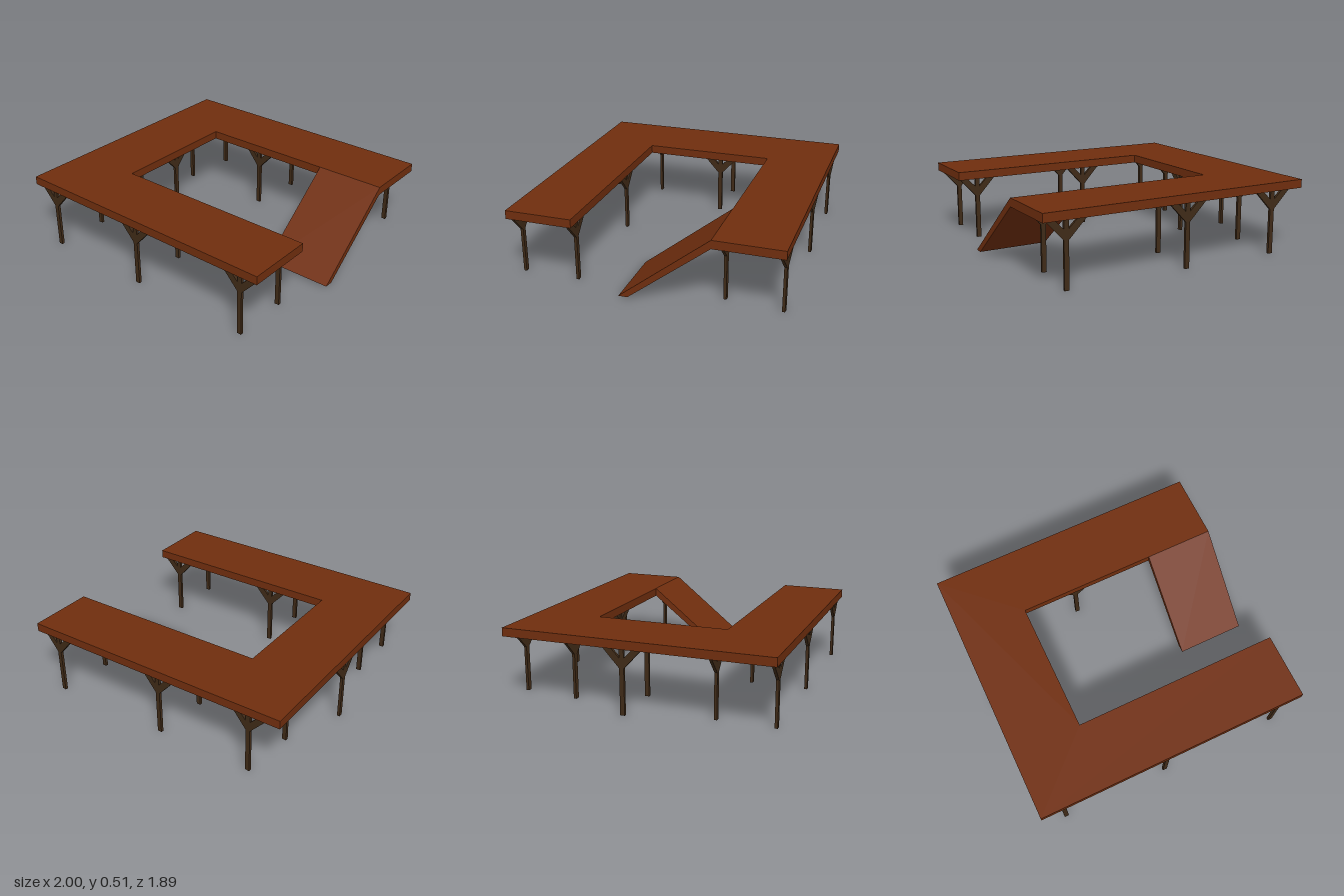
import * as THREE from 'three';

const wood = new THREE.MeshStandardMaterial({ color: 0x702e0e, flatShading: true });
const darkWood = new THREE.MeshStandardMaterial({ color: 0x3f2a17, flatShading: true });

const DECK_BOTTOM = 0.45, DECK_TOP = 0.51;

const shapeOf = (points) => new THREE.Shape(points.map(([x, y]) => new THREE.Vector2(x, y)));

function extrude(points, depth) {
  return new THREE.ExtrudeGeometry(shapeOf(points), { depth, bevelEnabled: false });
}

// Post with a pair of diagonal braces spreading along its local x
const POST_W = 0.032, POST_D = 0.02;
const postGeometry = new THREE.BoxGeometry(POST_W, DECK_BOTTOM, POST_D).translate(0, DECK_BOTTOM / 2, 0);
const braceProfile = [[0.012, 0.315], [0.135, DECK_BOTTOM], [0.075, DECK_BOTTOM], [0.012, 0.385]];

function createPost(x, z, turn) {
  const support = new THREE.Group();
  support.name = 'supportPost';
  const post = new THREE.Mesh(postGeometry, darkWood);
  post.name = 'post';
  support.add(post);
  for (const side of [1, -1]) {
    const geometry = extrude(braceProfile, POST_D).translate(0, 0, -POST_D / 2);
    if (side < 0) geometry.rotateY(Math.PI);
    const brace = new THREE.Mesh(geometry, darkWood);
    brace.name = 'brace';
    support.add(brace);
  }
  support.position.set(x, 0, z);
  support.rotation.y = turn;
  return support;
}

export function createModel() {
  const model = new THREE.Group();
  model.name = 'raisedWalkway';

  // C-shaped deck, drawn as (x, -z) and laid flat
  const deckGeometry = extrude([
    [-1, -0.945], [1, -0.945], [1, -0.472], [-0.5, -0.472],
    [-0.5, 0.475], [1, 0.475], [1, 0.95], [-1, 0.95],
  ], DECK_TOP - DECK_BOTTOM).rotateX(-Math.PI / 2).translate(0, DECK_BOTTOM, 0);
  const deck = new THREE.Mesh(deckGeometry, wood);
  deck.name = 'deck';
  model.add(deck);

  // Ramp: side profile (z, y) swept across x from 0.5 to 1
  const rampGeometry = extrude([
    [0.155, 0.008], [-0.475, DECK_TOP], [-0.475, DECK_BOTTOM], [0.092, 0.008],
  ], 0.5).rotateY(-Math.PI / 2).translate(1, 0, 0);
  const ramp = new THREE.Mesh(rampGeometry, wood);
  ramp.name = 'ramp';
  model.add(ramp);

  // Post pairs: the rear ones stand slightly turned
  const turn = THREE.MathUtils.degToRad(-5);
  for (const x of [-0.83, -0.035, 0.85]) {
    for (const z of [0.91, 0.51]) model.add(createPost(x, z, 0));
  }
  for (const x of [-0.778, -0.07, 0.815]) {
    model.add(createPost(x - 0.018, -0.52, turn), createPost(x + 0.018, -0.918, turn));
  }
  for (const x of [-0.975, -0.58]) model.add(createPost(x, -0.08, Math.PI / 2));

  return model;
}
